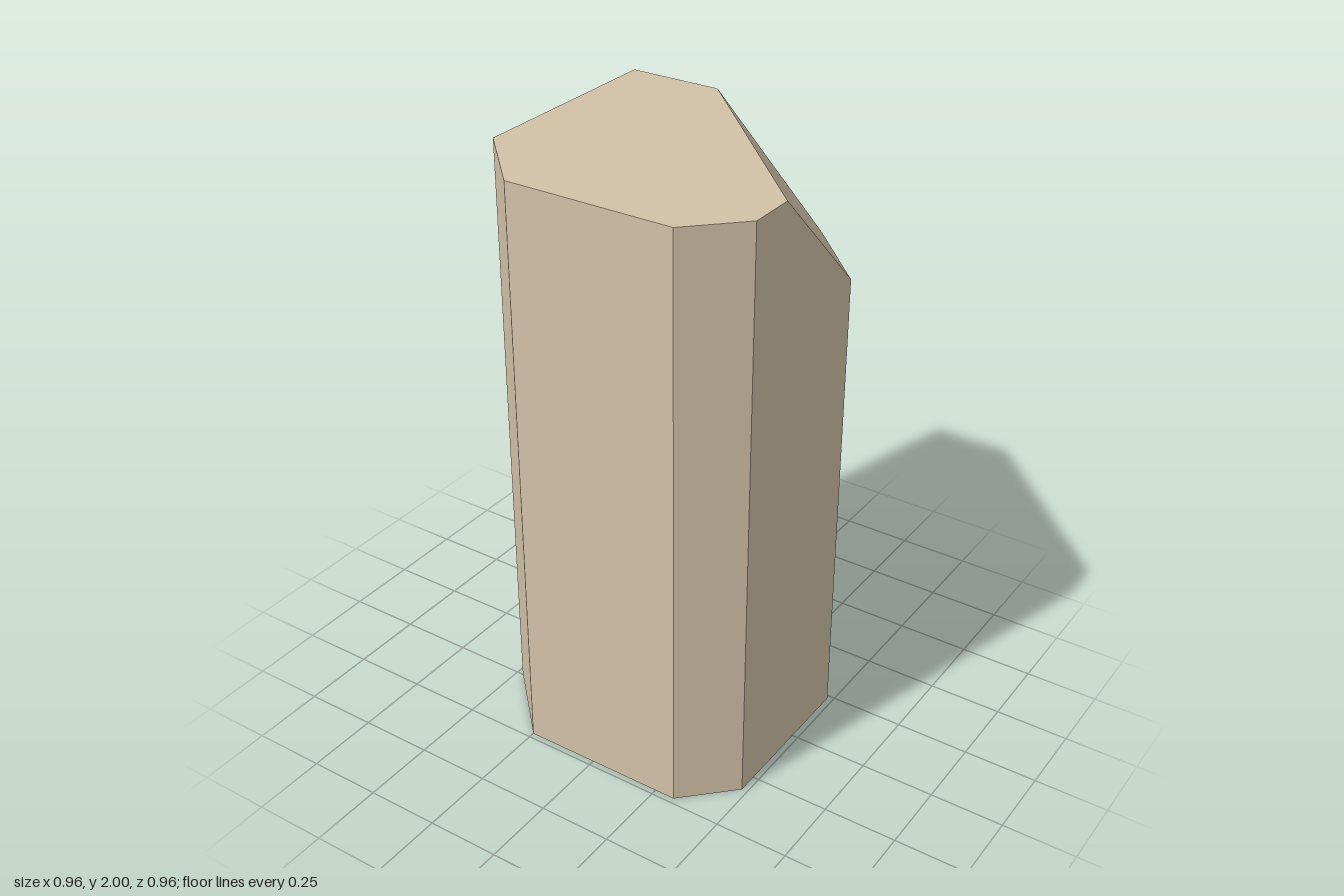
import * as THREE from 'three';
import { ConvexGeometry } from 'three/addons/geometries/ConvexGeometry.js';

export function createModel() {
  const group = new THREE.Group();
  group.name = 'stonePillar';

  const stone = new THREE.MeshStandardMaterial({ color: 0xd2c1a7 });
  stone.name = 'sandstone';

  // Square footprint with three bevelled corners, as [x, z]
  const footprint = [
    [-0.48, -0.48], [0.24, -0.48], [0.48, -0.235], [0.48, 0.32],
    [0.32, 0.48], [-0.25, 0.48], [-0.48, 0.245],
  ];
  const points = [];
  for (const [x, z] of footprint) {
    points.push(new THREE.Vector3(x, 0, z));
    // The bevelled back corner ends lower, below the sloping cut
    const onCut = x - z > 0.6;
    points.push(new THREE.Vector3(x, onCut ? 1.605 : 2, z));
  }

  // Upper edge of the sloping cut
  points.push(new THREE.Vector3(-0.16, 2, -0.48), new THREE.Vector3(0.48, 2, 0.16));

  const pillar = new THREE.Mesh(new ConvexGeometry(points), stone);
  pillar.name = 'pillar';
  group.add(pillar);
  return group;
}
